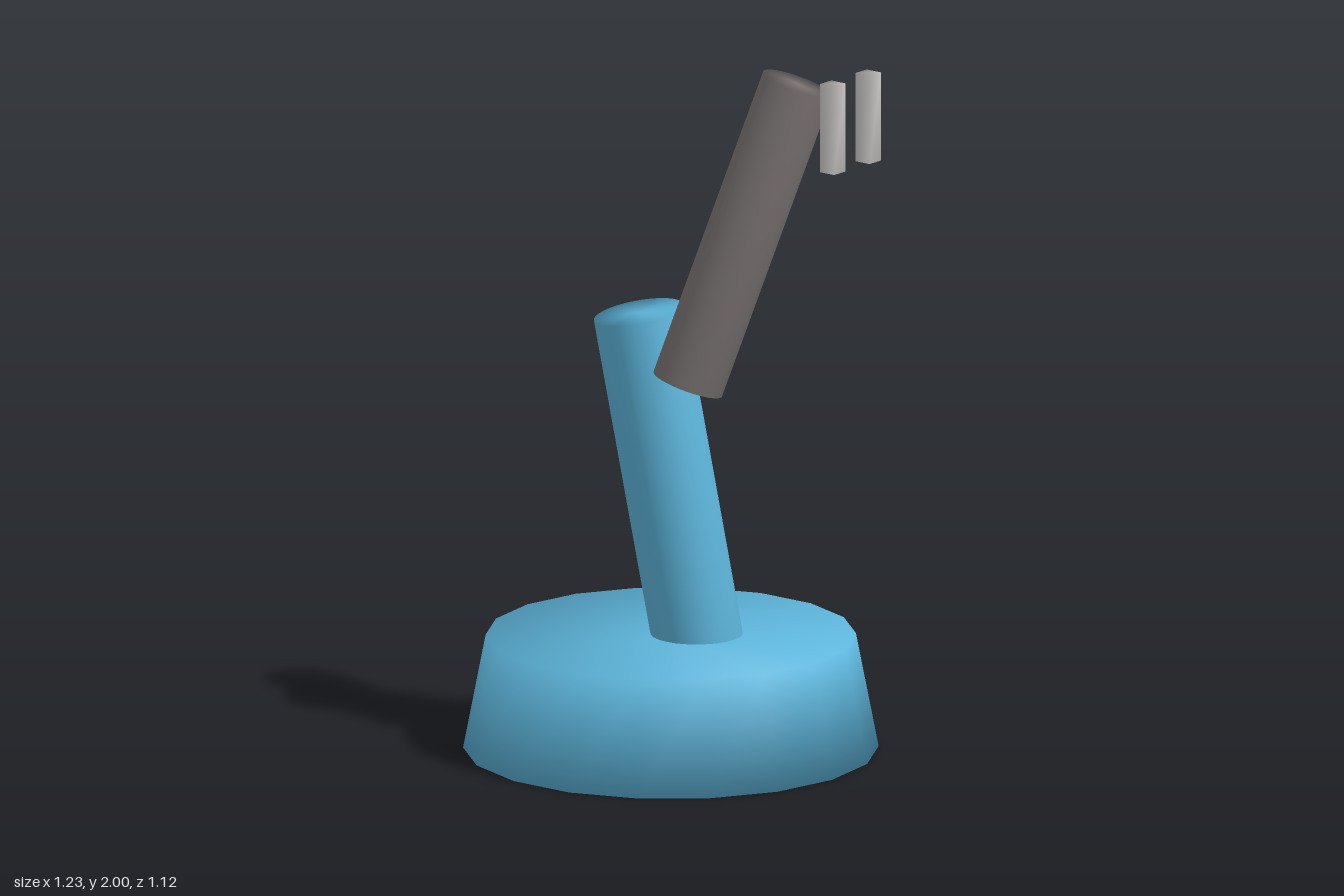
import * as THREE from 'three';
import { mergeVertices } from 'three/addons/utils/BufferGeometryUtils.js';

const blue = new THREE.MeshStandardMaterial({ name: 'sky blue', color: 0x5db5db });
const darkGrey = new THREE.MeshStandardMaterial({ name: 'warm grey', color: 0x787271 });
const silver = new THREE.MeshStandardMaterial({ name: 'silver', color: 0xc8c4c4 });

// Weld the corners so the shading runs smoothly over every edge.
function welded(geometry) {
  geometry.deleteAttribute('normal');
  geometry.deleteAttribute('uv');
  const result = mergeVertices(geometry, 1e-4);
  result.computeVertexNormals();
  return result;
}

// Straight round limb between two points.
function limb(name, from, to, radius, material) {
  const a = new THREE.Vector3(...from);
  const b = new THREE.Vector3(...to);
  const axis = b.clone().sub(a);
  const mesh = new THREE.Mesh(
    welded(new THREE.CylinderGeometry(radius, radius, axis.length(), 32)), material);
  mesh.name = name;
  mesh.position.copy(a).add(b).multiplyScalar(0.5);
  mesh.quaternion.setFromUnitVectors(new THREE.Vector3(0, 1, 0), axis.normalize());
  return mesh;
}

export function createModel() {
  const model = new THREE.Group();
  model.name = 'robotArm';

  // Tapered 18-sided pedestal, corners on the x axis
  const base = new THREE.Mesh(
    welded(new THREE.CylinderGeometry(0.508, 0.57, 0.32, 18, 1, false, Math.PI / 2)), blue);
  base.name = 'base';
  base.position.set(-0.045, 0.16, 0);
  model.add(base);

  // Two leaning arm segments
  model.add(limb('lowerArm', [0.008, 0.29, -0.055], [-0.11, 1.233, 0.06], 0.125, blue));
  model.add(limb('upperArm', [0.1, 1.073, 0.105], [0.315, 1.917, -0.108], 0.1, darkGrey));

  // Pair of floating gripper fingers
  for (const z of [-0.077, 0.077]) {
    const finger = new THREE.Mesh(welded(new THREE.BoxGeometry(0.05, 0.25, 0.05)), silver);
    finger.name = z > 0 ? 'frontFinger' : 'backFinger';
    finger.position.set(0.59, 1.875, z);
    model.add(finger);
  }
  return model;
}
